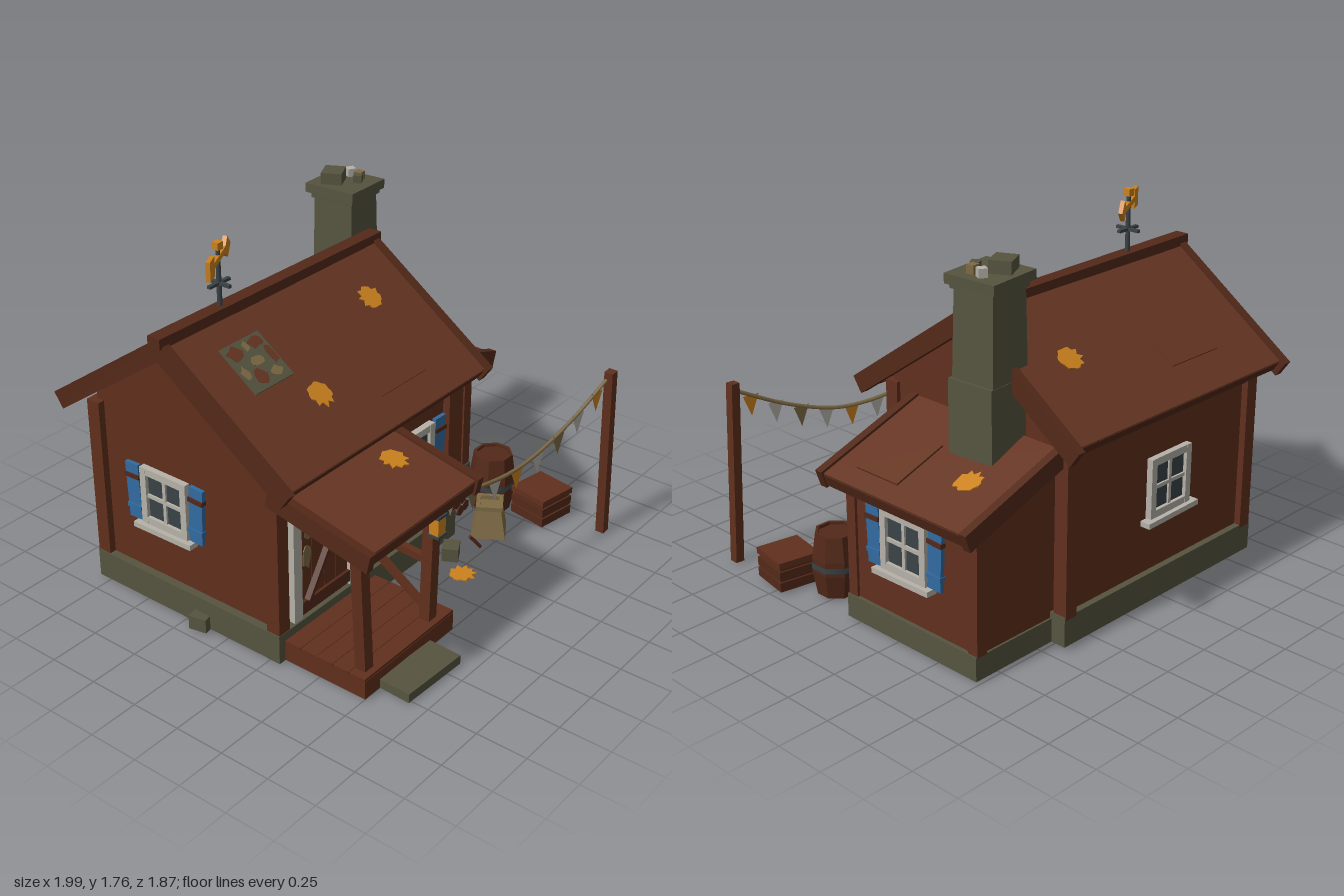
import * as THREE from 'three';

const mat = (name, color) => Object.assign(new THREE.MeshStandardMaterial({ color, side: THREE.DoubleSide }), { name });
const M = {
  roof: mat('roof brown', 0x663522), wood: mat('wall brown', 0x602f1d), dark: mat('dark timber', 0x532919),
  stone: mat('stone', 0x56543f), white: mat('weathered white', 0xb6b2a9), blue: mat('shutter blue', 0x326ba1),
  glass: mat('glass and iron', 0x3a4347), orange: mat('orange', 0xcc821e), tan: mat('tan', 0x7e6a44),
};

function add(parent, name, geo, material, x = 0, y = 0, z = 0) {
  const m = new THREE.Mesh(geo, material);
  m.name = name;
  m.position.set(x, y, z);
  parent.add(m);
  return m;
}
function group(parent, name, x = 0, y = 0, z = 0, ry = 0, rx = 0) {
  const g = new THREE.Group();
  g.name = name;
  g.position.set(x, y, z);
  g.rotation.set(rx, ry, 0, 'YXZ');
  parent.add(g);
  return g;
}
// box given by its minimum and maximum on each axis
const span = (p, name, m, x0, x1, y0, y1, z0, z1) =>
  add(p, name, new THREE.BoxGeometry(x1 - x0, y1 - y0, z1 - z0), m, (x0 + x1) / 2, (y0 + y1) / 2, (z0 + z1) / 2);
// beam from a to b, in the parent's space
function beam(p, name, m, a, b, w, h = w) {
  const A = new THREE.Vector3(...a), B = new THREE.Vector3(...b);
  const mesh = add(p, name, new THREE.BoxGeometry(w, h, A.distanceTo(B)), m);
  mesh.position.copy(A).lerp(B, 0.5);
  mesh.quaternion.setFromRotationMatrix(new THREE.Matrix4().lookAt(B, A, new THREE.Vector3(0, 1, 0)));
  return mesh;
}
function polygon(pts, depth) {
  const s = new THREE.Shape(pts.map(([x, y]) => new THREE.Vector2(x, y)));
  return new THREE.ExtrudeGeometry(s, { depth, bevelEnabled: false });
}
// irregular flat blob, in the xy plane
function blob(rx, ry, n, jag, seed) {
  const pts = [];
  for (let i = 0; i < n; i++) {
    const a = (i / n) * Math.PI * 2, r = 1 - jag * (i % 2) - 0.12 * (1 + Math.sin(i * 2.7 + seed));
    pts.push([Math.cos(a) * rx * r, Math.sin(a) * ry * r]);
  }
  return polygon(pts, 0.006);
}
function leaf(p, x, y, z, seed) {
  const m = add(p, 'fallenLeaf', blob(0.074, 0.07, 20, 0.13, seed), M.orange, x, y, z);
  m.rotation.set(-Math.PI / 2, 0, seed);
}
// open rectangular plinth with a floor
function plinth(p, name, m, floor, x0, x1, y0, y1, z0, z1, t) {
  const g = group(p, name);
  span(g, 'plinthFront', m, x0, x1, y0, y1, z1 - t, z1);
  span(g, 'plinthBack', m, x0, x1, y0, y1, z0, z0 + t);
  span(g, 'plinthLeft', m, x1 - t, x1, y0, y1, z0 + t, z1 - t);
  span(g, 'plinthRight', m, x0, x0 + t, y0, y1, z0 + t, z1 - t);
  span(g, 'floor', floor, x0 + t, x1 - t, y1 - 0.04, y1 - 0.01, z0 + t, z1 - t);
}
// sloping roof: local z runs down the slope, top surface at local y = 0
function slope(p, name, x, y, z, ry, pitch, x0, x1, len, short) {
  const g = group(p, name, x, y, z, ry, pitch);
  span(g, 'roofSlab', M.roof, x0 + 0.03, x1 - 0.03, -0.05, 0, 0, len - short);
  for (const e of [x0, x1 - 0.04]) span(g, 'bargeBoard', M.dark, e, e + 0.04, -0.075, 0.012, 0, len);
  span(g, 'fascia', M.dark, x0 + 0.04, x1 - 0.04, -0.065, -0.008, len - short - 0.025, len - short + 0.003);
  return g;
}
// window facing local +z, centred on its panes
function window4(p, x, y, z, ry, shutters) {
  const g = group(p, 'window', x, y, z, ry);
  span(g, 'glassPane', M.glass, -0.12, 0.12, -0.13, 0.13, -0.01, 0.01);
  for (const s of [-1, 1]) {
    add(g, 'frameSide', new THREE.BoxGeometry(0.035, 0.29, 0.04), M.white, s * 0.122, 0, 0.008);
    add(g, 'frameRail', new THREE.BoxGeometry(0.275, 0.036, 0.038), M.white, 0, s * 0.128, 0.008);
    if (!shutters) continue;
    const sh = group(g, 'shutter', s * 0.191, s * 0.005, 0.01);
    sh.rotation.z = s * -0.04;
    add(sh, 'shutterBoard', new THREE.BoxGeometry(0.08, 0.285, 0.02), M.blue);
    for (const v of [-0.08, 0.08]) add(sh, 'shutterBatten', new THREE.BoxGeometry(0.085, 0.022, 0.03), v > 0 ? M.dark : M.blue, 0, v, 0.002);
  }
  add(g, 'muntinVertical', new THREE.BoxGeometry(0.018, 0.26, 0.02), M.white, 0, 0, 0.01);
  add(g, 'muntinHorizontal', new THREE.BoxGeometry(0.24, 0.018, 0.02), M.white, 0, 0, 0.01);
  add(g, 'sill', new THREE.BoxGeometry(0.35, 0.026, 0.06), M.white, 0, -0.158, 0.02).rotation.z = 0.02;
  return g;
}

export function createModel() {
  const root = new THREE.Group();
  root.name = 'cottage';

  // foundations and walls
  plinth(root, 'mainFoundation', M.stone, M.dark, -0.91, 0.42, 0.01, 0.155, -0.812, 0.31, 0.05);
  plinth(root, 'annexFoundation', M.stone, M.stone, 0.42, 0.885, 0.01, 0.125, -0.735, 0.075, 0.05);
  const house = add(root, 'mainWalls', polygon([[-0.27, 0.145], [0.78, 0.145], [0.78, 0.99], [0.265, 1.36], [-0.27, 0.985]], 1.265), M.wood, -0.87);
  house.rotation.y = Math.PI / 2;
  add(root, 'annexWalls', polygon([[0.38, 0.12], [0.865, 0.12], [0.865, 0.72], [0.38, 0.885]], 0.785), M.wood, 0, 0, -0.725);
  for (const x of [-0.905, 0.345]) for (const z of [-0.813, 0.235]) span(root, 'cornerPost', M.wood, x, x + 0.07, 0.14, 0.96, z, z + 0.073);
  for (const z of [-0.735, 0.015]) span(root, 'annexPost', M.wood, 0.82, 0.878, 0.12, 0.72, z, z + 0.055);
  span(root, 'annexBeam', M.dark, 0.83, 0.88, 0.69, 0.73, -0.735, 0.07);
  span(root, 'wallStud', M.wood, -0.25, -0.18, 0.2, 0.93, 0.26, 0.3);
  for (const z of [-0.8, 0.265]) span(root, 'wallPlate', M.dark, -0.9, 0.41, 0.89, 0.95, z, z + 0.035);

  // main roof
  const P = 0.612;
  const front = slope(root, 'frontRoof', 0, 1.442, -0.265, 0, P, -0.985, 0.49, 0.862, 0.018);
  const back = slope(root, 'backRoof', 0, 1.445, -0.265, Math.PI, P, -0.49, 0.985, 0.812, 0.03);
  beam(root, 'ridgeCap', M.dark, [-1, 1.447, -0.265], [0.505, 1.435, -0.265], 0.07, 0.05);
  span(front, 'roofPatch', M.roof, -0.18, 0.135, 0, 0.009, 0.41, 0.7);
  span(back, 'roofPatch', M.roof, 0.325, 0.645, 0, 0.009, 0.3, 0.605);
  leaf(front, 0.18, 0.002, 0.27, 1);
  leaf(front, -0.46, 0.002, 0.545, 2);
  leaf(back, -0.16, 0.002, 0.39, 3);
  span(front, 'stonePatch', M.stone, -0.75, -0.505, 0, 0.009, 0.16, 0.41);
  [[-0.695, 0.21, 0.05, 0.045, 'roof'], [-0.56, 0.2, 0.05, 0.035, 'roof'], [-0.53, 0.28, 0.024, 0.06, 'roof'], [-0.62, 0.28, 0.045, 0.03, 'tan'],
    [-0.66, 0.35, 0.04, 0.05, 'roof'], [-0.57, 0.36, 0.04, 0.03, 'tan'], [-0.72, 0.31, 0.025, 0.04, 'tan'], [-0.62, 0.2, 0.02, 0.03, 'tan']]
    .forEach(([x, z, a, b, c], i) => { add(front, 'patchStain', blob(a, b, 9, 0.1, i), M[c], x, 0.005, z).rotation.x = -Math.PI / 2; });

  // annex roof
  const annex = slope(root, 'annexRoof', 0.41, 0.935, 0, Math.PI / 2, 0.335, -0.135, 0.785, 0.612, 0.01);
  span(annex, 'roofPatch', M.roof, 0.02, 0.275, 0, 0.009, 0.22, 0.505);
  leaf(annex, 0.55, 0.002, 0.345, 4);

  // chimney
  const ch = group(root, 'chimney', 0.508, 0, -0.44, 0.07);
  add(ch, 'chimneyBase', new THREE.BoxGeometry(0.24, 0.43, 0.24), M.stone, 0, 0.985, 0);
  const shaft = new THREE.CylinderGeometry(0.148, 0.16, 0.46, 4, 1).rotateY(Math.PI / 4).toNonIndexed();
  shaft.computeVertexNormals();
  add(ch, 'chimneyShaft', shaft, M.stone, -0.005, 1.41, -0.005);
  add(ch, 'chimneyCap', new THREE.BoxGeometry(0.27, 0.045, 0.27), M.stone, -0.004, 1.642, -0.008).rotation.z = -0.03;
  add(ch, 'chimneyCollar', new THREE.BoxGeometry(0.235, 0.03, 0.235), M.stone, -0.004, 1.61, -0.005);
  add(ch, 'looseBrick', new THREE.BoxGeometry(0.11, 0.06, 0.1), M.stone, -0.04, 1.693, -0.05).rotation.y = 0.4;
  [[0.06, 0.03, 'tan'], [0.075, -0.03, 'white'], [0.02, 0.05, 'stone']].forEach(([x, z, c], i) =>
    add(ch, 'looseStone', new THREE.BoxGeometry(0.04, 0.04, 0.04), M[c], x, 1.682, z).rotation.y = i);

  // weathervane
  const vane = group(root, 'weathervane', -0.59, 0, -0.265);
  add(vane, 'vanePole', new THREE.CylinderGeometry(0.01, 0.012, 0.3, 8), M.glass, 0, 1.59, 0);
  add(vane, 'crossArm', new THREE.BoxGeometry(0.13, 0.014, 0.018), M.glass, 0, 1.575, 0);
  add(vane, 'crossArm', new THREE.BoxGeometry(0.018, 0.014, 0.13), M.glass, 0, 1.575, 0);
  add(vane, 'finial', new THREE.BoxGeometry(0.034, 0.034, 0.034), M.orange, 0, 1.75, 0);
  const arrow = group(vane, 'arrow', 0, 1.693, 0, 0.48);
  add(arrow, 'arrowShaft', new THREE.BoxGeometry(0.25, 0.028, 0.02), M.orange);
  add(arrow, 'arrowHead', new THREE.BoxGeometry(0.068, 0.068, 0.02), M.orange, 0.125, 0, 0).rotation.z = Math.PI / 4;
  add(arrow, 'arrowTail', new THREE.BoxGeometry(0.07, 0.09, 0.02), M.orange, -0.125, 0, 0);

  // windows
  const fw = window4(root, 0.095, 0.58, 0.277, 0, true);
  window4(root, 0.87, 0.493, -0.305, Math.PI / 2, true);
  window4(root, -0.873, 0.57, -0.37, -Math.PI / 2, true);
  window4(root, -0.29, 0.57, -0.783, Math.PI, false);

  // flower box
  const fb = group(fw, 'flowerBox', 0.01, -0.145, 0.04);
  add(fb, 'planter', new THREE.BoxGeometry(0.325, 0.075, 0.07), M.tan);
  add(fb, 'planterShelf', new THREE.BoxGeometry(0.32, 0.065, 0.04), M.wood, -0.015, -0.07, -0.015);
  for (let i = 0; i < 7; i++)
    add(fb, 'flower', new THREE.IcosahedronGeometry(0.022, 0), [M.orange, M.tan, M.white][[0, 0, 2, 0, 1, 0, 2][i]], -0.13 + i * 0.043, 0.05 + 0.015 * (i % 3), 0);

  // door
  const door = group(root, 'door', -0.57, 0.155, 0.272);
  for (const s of [-1, 1]) span(door, 'doorJamb', M.white, s * 0.195 - 0.027, s * 0.195 + 0.027, 0, 0.6, -0.01, 0.03);
  span(door, 'doorLintel', M.white, -0.22, 0.22, 0.56, 0.61, -0.01, 0.03);
  for (let i = 0; i < 4; i++) span(door, 'doorPlank', M.wood, -0.168 + i * 0.084, -0.087 + i * 0.084, 0, 0.56, 0, 0.015);
  for (const y of [0.02, 0.48]) span(door, 'doorRail', M.dark, -0.165, 0.165, y, y + 0.06, 0.012, 0.03);
  beam(door, 'doorBrace', M.dark, [-0.13, 0.08, 0.02], [0.13, 0.48, 0.02], 0.05, 0.02);
  [[-0.11, 0.44, 0.03, 0.07], [0.1, 0.36, 0.03, 0.09], [-0.12, 0.3, 0.035, 0.07], [0.04, 0.47, 0.04, 0.03]].forEach(([x, y, a, b], i) =>
    add(door, 'lichen', blob(a, b, 10, 0.08, i), M.tan, x, y, 0.013));
  add(door, 'doorHandle', new THREE.SphereGeometry(0.013, 8, 6), M.glass, 0.14, 0.28, 0.03);

  // porch
  const porch = group(root, 'porch');
  plinth(porch, 'deck', M.wood, M.dark, -0.87, -0.225, 0.01, 0.1, 0.31, 0.755, 0.04);
  for (let i = 0; i < 5; i++) span(porch, 'deckPlank', M.wood, -0.87, -0.225, 0.1, 0.114, 0.31 + i * 0.089, 0.397 + i * 0.089);
  add(porch, 'stoneStep', new THREE.BoxGeometry(0.36, 0.045, 0.17), M.stone, -0.59, 0.033, 0.838).rotation.y = -0.04;
  for (const [x, dx] of [[-0.82, -0.02], [-0.33, 0.01]])
    beam(porch, 'porchPost', M.wood, [x - dx, 0.11, 0.695], [x + dx, 0.76, 0.695], 0.056);
  beam(porch, 'postKnee', M.wood, [-0.33, 0.63, 0.695], [-0.42, 0.73, 0.695], 0.03);
  beam(porch, 'handrail', M.wood, [-0.33, 0.415, 0.67], [-0.33, 0.44, 0.28], 0.035);
  beam(porch, 'railBrace', M.wood, [-0.33, 0.16, 0.67], [-0.33, 0.4, 0.3], 0.03);
  span(porch, 'porchBeam', M.dark, -0.9, -0.18, 0.725, 0.775, 0.67, 0.725);
  const pr = slope(porch, 'porchRoof', 0, 0.91, 0.295, 0, 0.207, -0.945, -0.145, 0.55, 0.015);
  leaf(pr, -0.35, 0.002, 0.21, 5);

  // lantern
  const lan = group(porch, 'lantern', -0.343, 0.625, 0.737);
  add(lan, 'lanternLight', new THREE.BoxGeometry(0.055, 0.085, 0.05), M.orange);
  for (const y of [-0.049, 0.049]) add(lan, 'lanternPlate', new THREE.BoxGeometry(0.066, 0.012, 0.06), M.glass, 0, y, 0);
  beam(lan, 'lanternHook', M.glass, [0, 0.05, 0], [0, 0.1, -0.02], 0.012);

  // bunting and pole
  beam(root, 'buntingPole', M.wood, [0.905, 0.01, 0.86], [0.868, 0.915, 0.86], 0.045);
  const rope = new THREE.CatmullRomCurve3([[-0.3, 0.72, 0.69], [-0.15, 0.68, 0.715], [0, 0.655, 0.735], [0.18, 0.642, 0.76], [0.35, 0.66, 0.78], [0.6, 0.745, 0.815], [0.87, 0.88, 0.85]].map(p => new THREE.Vector3(...p)));
  add(root, 'buntingRope', new THREE.TubeGeometry(rope, 32, 0.01, 5), M.tan);
  const tri = new THREE.ShapeGeometry(new THREE.Shape([[-0.042, 0], [0, -0.105], [0.042, 0]].map(p => new THREE.Vector2(...p))));
  ['white', 'tan', 'white', 'orange', 'white', 'tan', 'white', 'orange'].forEach((c, i) => {
    const p = rope.getPointAt(0.08 + i * 0.12);
    add(root, 'flag', tri, M[c], p.x, p.y, p.z + 0.003).rotation.y = -0.13;
  });

  // barrel
  const barrel = group(root, 'barrel', 0.76, 0.01, 0.295, Math.PI / 8);
  const staves = new THREE.LatheGeometry([[0, 0], [0.095, 0], [0.116, 0.12], [0.116, 0.19], [0.098, 0.31], [0.084, 0.31], [0.084, 0.295], [0, 0.295]].map(p => new THREE.Vector2(...p)), 8).toNonIndexed();
  staves.computeVertexNormals();
  add(barrel, 'staves', staves, M.dark);
  add(barrel, 'barrelHoop', new THREE.CylinderGeometry(0.119, 0.119, 0.028, 8, 1, true), M.glass, 0, 0.15, 0);

  // crate
  const crate = group(root, 'crate', 0.85, 0.01, 0.535, -0.17);
  add(crate, 'crateBody', new THREE.BoxGeometry(0.19, 0.14, 0.19), M.dark, 0, 0.07, 0);
  for (const y of [0.03, 0.085]) add(crate, 'crateSlats', new THREE.BoxGeometry(0.21, 0.045, 0.21), M.dark, 0, y, 0);
  add(crate, 'crateLid', new THREE.BoxGeometry(0.215, 0.03, 0.215), M.wood, 0, 0.14, 0);

  // basket
  const basket = group(root, 'basket', 0.555, 0.01, 0.42, 0.55);
  const wicker = new THREE.CylinderGeometry(0.08, 0.12, 0.16, 4, 1, true).rotateY(Math.PI / 4).toNonIndexed();
  wicker.computeVertexNormals();
  add(basket, 'basketBody', wicker, M.tan, 0, 0.08, 0);
  add(basket, 'basketFill', new THREE.BoxGeometry(0.1, 0.02, 0.1), M.tan, 0, 0.14, 0);
  for (const s of [-1, 1]) {
    add(basket, 'basketRim', new THREE.BoxGeometry(0.13, 0.022, 0.02), M.tan, 0, 0.16, s * 0.056);
    add(basket, 'basketRim', new THREE.BoxGeometry(0.02, 0.022, 0.13), M.tan, s * 0.056, 0.16, 0);
  }

  // firewood, stick, stones and a fallen leaf
  for (let i = 0; i < 5; i++)
    add(root, 'firewood', new THREE.CylinderGeometry(0.03, 0.03, 0.14, 6).rotateX(Math.PI / 2), M.dark, 0.515 + (i % 3) * 0.06 + (i > 2 ? 0.03 : 0), i > 2 ? 0.092 : 0.04, 0.155 + 0.01 * (i % 2));
  for (const x of [0.485, 0.69]) span(root, 'woodStake', M.dark, x, x + 0.025, 0.01, 0.18, 0.13, 0.16);
  beam(root, 'stick', M.dark, [0.36, 0.08, 0.44], [0.41, 0.008, 0.47], 0.016);
  add(root, 'rock', new THREE.BoxGeometry(0.09, 0.07, 0.08), M.stone, 0.245, 0.045, 0.41).rotation.y = 0.5;
  add(root, 'rock', new THREE.BoxGeometry(0.09, 0.07, 0.09), M.stone, -0.912, 0.045, -0.15).rotation.y = 0.2;
  leaf(root, 0.14, 0.025, 0.55, 6);
  return root;
}
